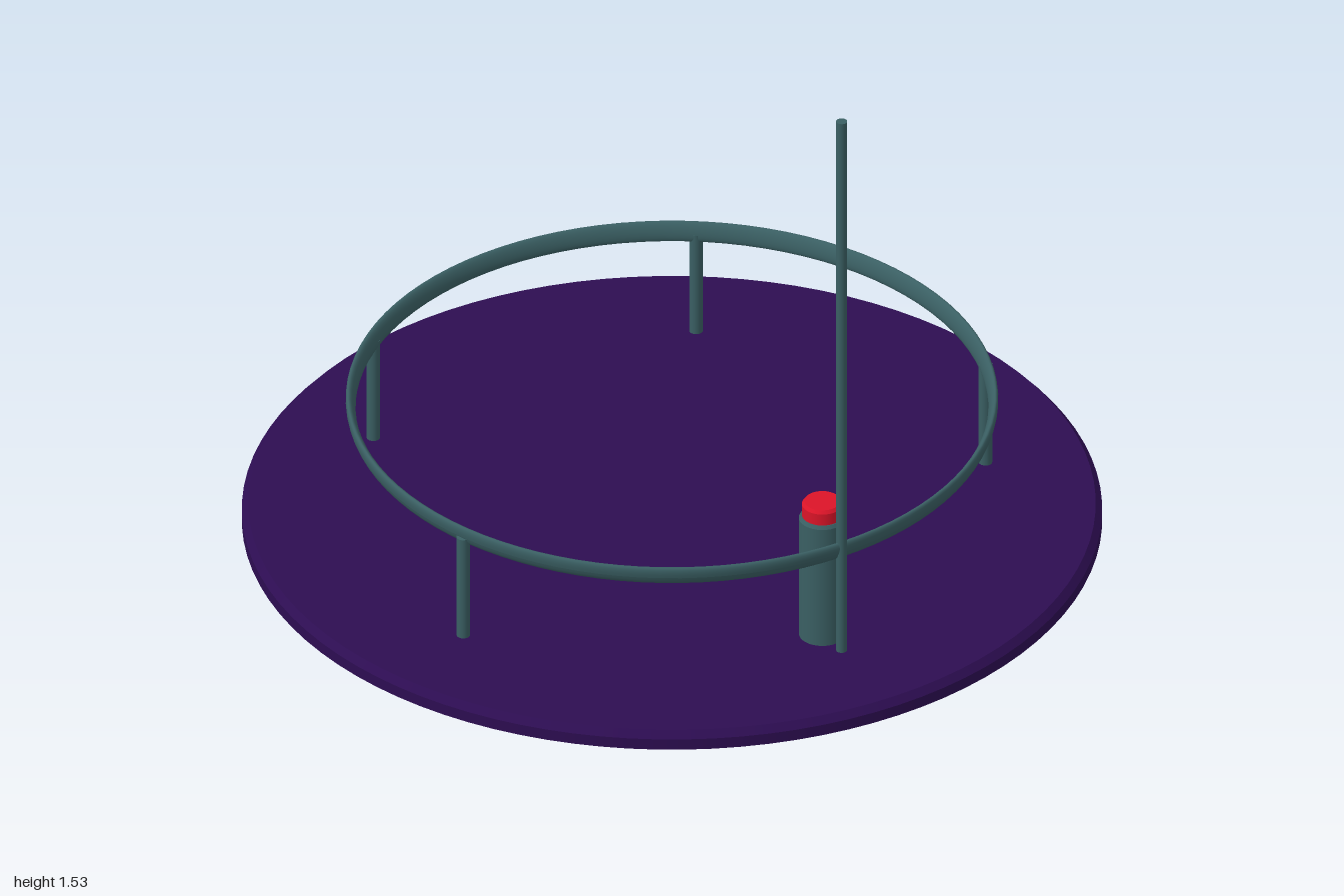
import * as THREE from 'three';

const metal = new THREE.MeshStandardMaterial({ color: 0x3a5f63 });
const purple = new THREE.MeshStandardMaterial({ color: 0x2d0d52 });
const red = new THREE.MeshStandardMaterial({ color: 0xdc1428 });

// Turned solid; repeated points keep the edges crisp
function turned(name, points, material, segments) {
  const profile = [];
  points.forEach(([r, y], i) => {
    profile.push(new THREE.Vector2(r, y));
    if (i > 0 && i < points.length - 1) profile.push(new THREE.Vector2(r, y));
  });
  const mesh = new THREE.Mesh(new THREE.LatheGeometry(profile, segments), material);
  mesh.name = name;
  return mesh;
}

function rod(name, radius, bottom, top, x, z) {
  const mesh = new THREE.Mesh(new THREE.CylinderGeometry(radius, radius, top - bottom, 16), metal);
  mesh.position.set(x, (bottom + top) / 2, z);
  mesh.name = name;
  return mesh;
}

export function createModel() {
  const group = new THREE.Group();
  const ringRadius = 0.75;

  // Round platform with a chamfered upper rim
  group.add(turned('platform', [[0, 0.03], [1, 0.03], [1, 0.058], [0.985, 0.075], [0, 0.075]], purple, 96));

  // Rail: slim oval section leaning slightly outward at the top
  const section = [];
  const lean = 0.26;
  for (let i = 0; i <= 20; i++) {
    const a = (i / 20) * Math.PI * 2;
    const u = 0.01 * Math.cos(a), v = 0.025 * Math.sin(a);
    section.push(new THREE.Vector2(
      0.747 + u * Math.cos(lean) + v * Math.sin(lean),
      0.35 - u * Math.sin(lean) + v * Math.cos(lean)));
  }
  const rail = new THREE.Mesh(new THREE.LatheGeometry(section, 96), metal);
  rail.name = 'rail';
  group.add(rail);

  // Five evenly spaced supports; the front one is the tall pole
  for (let i = 0; i < 5; i++) {
    const a = (i / 5) * Math.PI * 2;
    const x = ringRadius * Math.sin(a), z = ringRadius * Math.cos(a);
    group.add(i === 0
      ? rod('pole', 0.013, 0.05, 1.53, x, z)
      : rod('railPost', 0.016, 0.05, 0.345, x, z));
  }

  // Control pedestal passing through the platform, with its red button
  const pedestal = new THREE.Group();
  pedestal.name = 'pedestal';
  pedestal.position.z = 0.665;
  pedestal.add(
    turned('pedestalBody', [[0, 0], [0.05, 0], [0.055, 0.006], [0.055, 0.394], [0.05, 0.402], [0, 0.402]], metal, 32),
    turned('button', [[0, 0.4], [0.048, 0.4], [0.048, 0.432], [0.042, 0.44], [0, 0.44]], red, 32));
  group.add(pedestal);

  return group;
}
